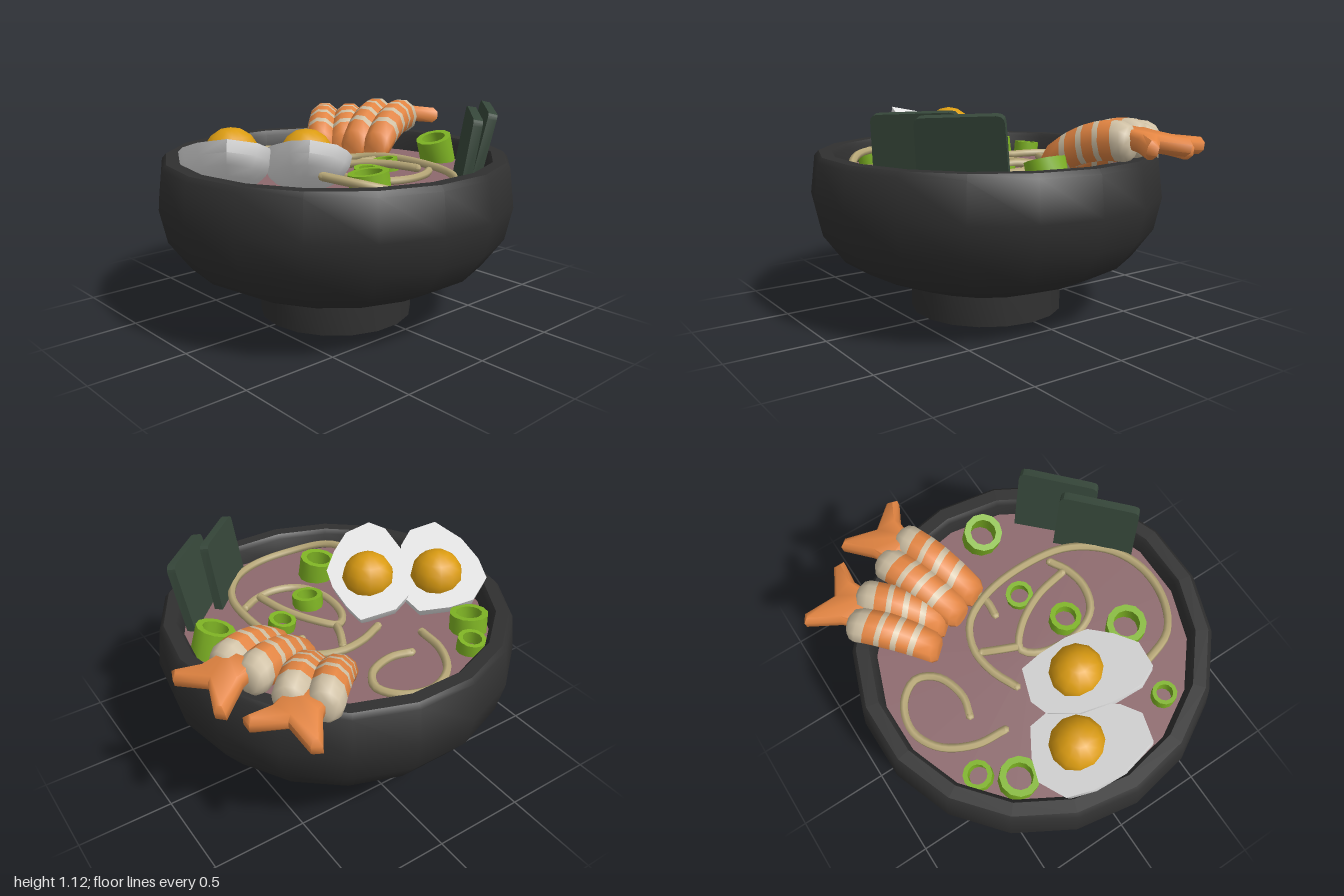
import * as THREE from 'three';
import { toCreasedNormals } from 'three/addons/utils/BufferGeometryUtils.js';

const material = (name, color) => {
  const m = new THREE.MeshStandardMaterial({ color });
  m.name = name;
  return m;
};
const V = (x, y, z) => new THREE.Vector3(x, y, z);

function add(parent, name, geometry, mat, crease = 0.7) {
  const mesh = new THREE.Mesh(toCreasedNormals(geometry, crease), mat);
  mesh.name = name;
  parent.add(mesh);
  return mesh;
}

// Closed solid through rings of equal length; bands[i] is the material slot between ring i and i + 1
function loft(rings, bands) {
  const n = rings[0].length, last = rings.length - 1;
  const pts = rings.flat();
  const centre = (r) => r.reduce((a, p) => a.add(p), V(0, 0, 0)).divideScalar(n);
  const c0 = pts.push(centre(rings[0])) - 1, c1 = pts.push(centre(rings[last])) - 1;
  const tris = [], slots = [];
  const tri = (slot, ...t) => { tris.push(t); slots.push(slot); };
  for (let j = 0; j < n; j++) tri(bands[0], c0, (j + 1) % n, j);
  for (let i = 0; i < last; i++) for (let j = 0; j < n; j++) {
    const a = i * n + j, b = i * n + (j + 1) % n;
    tri(bands[i], a, b, b + n);
    tri(bands[i], a, b + n, a + n);
  }
  for (let j = 0; j < n; j++) tri(bands[last - 1], c1, last * n + j, last * n + (j + 1) % n);
  // turn the faces outward if the signed volume is negative
  const o = pts[c0];
  let volume = 0;
  for (const [a, b, c] of tris) {
    const p = pts[a].clone().sub(o), q = pts[b].clone().sub(o), r = pts[c].clone().sub(o);
    volume += p.dot(q.cross(r));
  }
  if (volume < 0) tris.forEach((t) => t.reverse());
  const g = new THREE.BufferGeometry().setFromPoints(pts);
  g.setIndex(tris.flat());
  slots.forEach((s, i) => g.addGroup(i * 3, 3, s));
  // merge neighbouring groups
  g.groups = g.groups.reduce((out, k) => {
    const p = out[out.length - 1];
    if (p && p.materialIndex === k.materialIndex) p.count += k.count; else out.push(k);
    return out;
  }, []);
  return g;
}

export function createModel() {
  const model = new THREE.Group();
  model.name = 'noodleSoupBowl';
  const bowlMat = material('black bowl', 0x303030), soupMat = material('broth', 0x8d696d);
  const noodleMat = material('noodle', 0xb8a878), greenMat = material('spring onion', 0x7fb424);
  const noriMat = material('seaweed', 0x36473a), whiteMat = material('egg white', 0xe6e6e6);
  const yolkMat = material('egg yolk', 0xdb9c12), orangeMat = material('prawn orange', 0xe38542);
  const creamMat = material('prawn cream', 0xcfc0a4);
  const soupY = 0.75, cx = 0.017, cz = 0.053;

  // Bowl with foot, and the broth surface
  const profile = [[0, 0], [0.412, 0], [0.412, 0.155], [0.63, 0.235], [0.79, 0.32], [0.9, 0.47],
    [0.937, 0.64], [0.912, 0.84], [0.89, 0.865], [0.825, 0.865], [0.806, 0.84], [0.8, 0.7], [0, 0.69]];
  const bowl = add(model, 'bowl',
    new THREE.LatheGeometry(profile.map(([r, y]) => new THREE.Vector2(r, y)), 18), bowlMat);
  bowl.position.set(cx, 0, cz);
  const soup = add(model, 'broth', new THREE.CylinderGeometry(0.805, 0.8, 0.03, 18), soupMat);
  soup.position.set(cx, soupY - 0.015, cz);

  // Noodles: points are x, z and height above the broth
  const noodles = [
    [[-0.17, 0.19], [-0.23, 0.05], [-0.245, -0.1], [-0.18, -0.24], [-0.02, -0.32, 0.04], [0.24, -0.35, 0.04],
      [0.48, -0.315, 0.03], [0.67, -0.18], [0.75, 0], [0.73, 0.21, 0.04], [0.61, 0.39, 0.09], [0.4, 0.47, 0.11]],
    [[0.37, -0.2, 0.05], [0.19, -0.16, 0.05], [0.03, -0.07, 0.04], [-0.045, 0.03], [0.03, 0.1], [0.24, 0.12],
      [0.38, 0.05], [0.43, -0.08], [0.41, -0.21], [0.36, -0.3]],
    [[-0.22, -0.065], [-0.13, -0.02, 0.03], [-0.04, 0.015]],
    [[-0.45, 0.19], [-0.425, 0.08], [-0.475, -0.07], [-0.58, -0.125], [-0.69, -0.05], [-0.73, 0.1],
      [-0.66, 0.24], [-0.5, 0.33], [-0.34, 0.345]],
    [[-0.05, -0.2], [-0.045, -0.29], [-0.08, -0.4]],
  ];
  noodles.forEach((path, i) => {
    const curve = new THREE.CatmullRomCurve3(path.map(([x, z, h = 0.02]) => V(x, soupY + h, z)));
    const group = new THREE.Group();
    group.name = 'noodle' + (i + 1);
    model.add(group);
    add(group, 'strand', new THREE.TubeGeometry(curve, path.length * 4, 0.022, 6), noodleMat, 1.2);
    for (const t of [0, 1]) {
      add(group, 'strandEnd', new THREE.SphereGeometry(0.022, 6, 4), noodleMat, 1.2).position.copy(curve.getPoint(t));
    }
  });

  // Spring onion rings: x, z, radius, height, tilt about x, tilt about z
  [[0.13, -0.61, 0.1, 0.15, 0.3, 0], [0.115, -0.22, 0.072, 0.07, 0.1, 0.1], [0.24, 0.02, 0.083, 0.07, 0, -0.1],
    [0.47, 0.235, 0.102, 0.12, 0.1, 0.08], [0.42, 0.635, 0.063, 0.08, 0, 0], [-0.575, 0.47, 0.073, 0.08, 0, 0.1],
    [-0.42, 0.59, 0.1, 0.1, 0.05, -0.1]].forEach(([x, z, r, h, tx, tz], i) => {
    const ring = [[0.67, 0], [1, 0], [1, 1], [0.67, 1], [0.67, 0]].map(([a, b]) => new THREE.Vector2(a * r, (b - 0.5) * h));
    const mesh = add(model, 'springOnion' + (i + 1), new THREE.LatheGeometry(ring, 12), greenMat);
    mesh.position.set(x, soupY + h * 0.5 - 0.01, z);
    mesh.rotation.set(tx, 0, tz);
  });

  // Egg halves: outline on a tilted cut plane, swelling away below it
  const normal = V(-0.26, 1, -0.3).normalize();
  const egg = (name, c, yolk, outline) => {
    const group = new THREE.Group();
    group.name = name;
    model.add(group);
    const rim = outline.map(([x, z]) => V(x, c.y + 0.26 * (x - c.x) + 0.3 * (z - c.z), z));
    const rings = [0, 0.3, 0.6, 0.9, 1.2, 1.42].map((a) => rim.map((p) =>
      c.clone().lerp(p, Math.cos(a)).addScaledVector(normal, -0.19 * Math.sin(a))));
    add(group, 'eggWhite', loft(rings, [0, 0, 0, 0, 0]), [whiteMat], 0.9);
    add(group, 'eggYolk', new THREE.SphereGeometry(0.14, 12, 8), yolkMat, 0.9).position.copy(yolk);
  };
  egg('rearEgg', V(0.13, 0.915, 0.35), V(0.1, 0.89, 0.32),
    [[-0.1, 0.13], [0.01, 0.12], [0.16, 0.13], [0.27, 0.165], [0.35, 0.27], [0.41, 0.39], [0.385, 0.53],
      [0.29, 0.575], [0.13, 0.56], [-0.02, 0.51], [-0.14, 0.41], [-0.165, 0.31]]);
  egg('frontEgg', V(-0.08, 0.925, 0.64), V(-0.107, 0.905, 0.625),
    [[-0.235, 0.41], [-0.12, 0.4], [0.03, 0.47], [0.16, 0.59], [0.21, 0.69], [0.165, 0.83], [-0.02, 0.87],
      [-0.18, 0.855], [-0.3, 0.81], [-0.36, 0.67], [-0.32, 0.55]]);

  // Seaweed sheets leaning outward on the rim
  const w = 0.215, sheet = new THREE.Shape();
  sheet.moveTo(-w, -0.21);
  sheet.lineTo(w, -0.21);
  sheet.lineTo(w * 0.97, 0.17);
  sheet.quadraticCurveTo(w * 0.96, 0.2, w * 0.8, 0.2);
  sheet.lineTo(-w * 0.75, 0.215);
  sheet.quadraticCurveTo(-w * 0.92, 0.215, -w * 0.93, 0.18);
  const k = Math.SQRT1_2;
  [[0.02, 0.725, 0.22], [0.25, 0.64, 0.16]].forEach(([along, out, lean], i) => {
    const g = new THREE.ExtrudeGeometry(sheet, { depth: 0.045, bevelEnabled: false, curveSegments: 3 });
    g.translate(0, 0, -0.0225);
    const mesh = add(model, 'seaweedSheet' + (i + 1), g, noriMat, 0.5);
    mesh.rotation.set(-lean, -Math.PI / 4, 0, 'YXZ');
    mesh.position.set((along + out) * k, 0.905, (along - out) * k);
  });

  // Prawns: two striped lobes and a forked tail
  const stations = [0, 0.05, 0.13, 0.23, 0.37, 0.43, 0.55, 0.61, 0.73, 0.79, 0.95, 1];
  const swell = [0.6, 0.87, 1, 1, 1.02, 1.03, 1.02, 1.01, 0.99, 0.97, 0.9, 0.65];
  const bands = [1, 1, 1, 0, 1, 0, 1, 0, 1, 0, 0];
  const fork = [[-0.09, 0.09], [0.04, 0.085], [0.22, 0.13], [0.235, 0.08], [0.115, -0.045], [0.17, -0.2],
    [0.13, -0.24], [0.04, -0.14], [-0.09, -0.09]];
  const prawn = (name, start, mid, end, tailY, tailDrop) => {
    const group = new THREE.Group();
    group.name = name;
    model.add(group);
    const path = new THREE.QuadraticBezierCurve3(start, mid, end);
    const dir = V(end.x - start.x, 0, end.z - start.z).normalize();
    const side = V(-dir.z, 0, dir.x);
    for (const s of [-1, 1]) {
      const rings = stations.map((t, i) => Array.from({ length: 10 }, (_, j) => {
        const a = (j / 10) * Math.PI * 2, inner = i > 1 && i < 10;
        const u = t + (inner ? 0.025 * Math.sin(a) - 0.02 * s * Math.cos(a) : 0);
        const p = path.getPoint(u);
        const across = s * 0.078 * (1 - 0.12 * t) + 0.09 * swell[i] * Math.cos(a);
        return p.addScaledVector(side, across).add(V(0, 0.1 * swell[i] * Math.sin(a), 0));
      }));
      add(group, s < 0 ? 'leftLobe' : 'rightLobe', loft(rings, bands), [orangeMat, creamMat], 0.9);
    }
    const g = new THREE.ExtrudeGeometry(new THREE.Shape(fork.map(([u, v]) => new THREE.Vector2(u, v))),
      { depth: 0.04, bevelThickness: 0.025, bevelSize: 0.02, bevelOffset: -0.02, bevelSegments: 1 });
    g.translate(0, 0, -0.02).rotateX(-Math.PI / 2);
    const tail = add(group, 'tail', g, orangeMat, 0.9);
    tail.rotation.set(0, Math.atan2(dir.z, -dir.x), -tailDrop, 'YXZ');
    tail.position.set(start.x, tailY, start.z);
  };
  prawn('outerPrawn', V(-0.655, 0.9, -0.565), V(-0.51, 0.98, -0.41), V(-0.345, 0.79, -0.235), 0.91, 0.1);
  prawn('innerPrawn', V(-0.335, 0.945, -0.74), V(-0.255, 1.01, -0.55), V(-0.145, 0.81, -0.3), 0.97, 0.2);

  return model;
}
